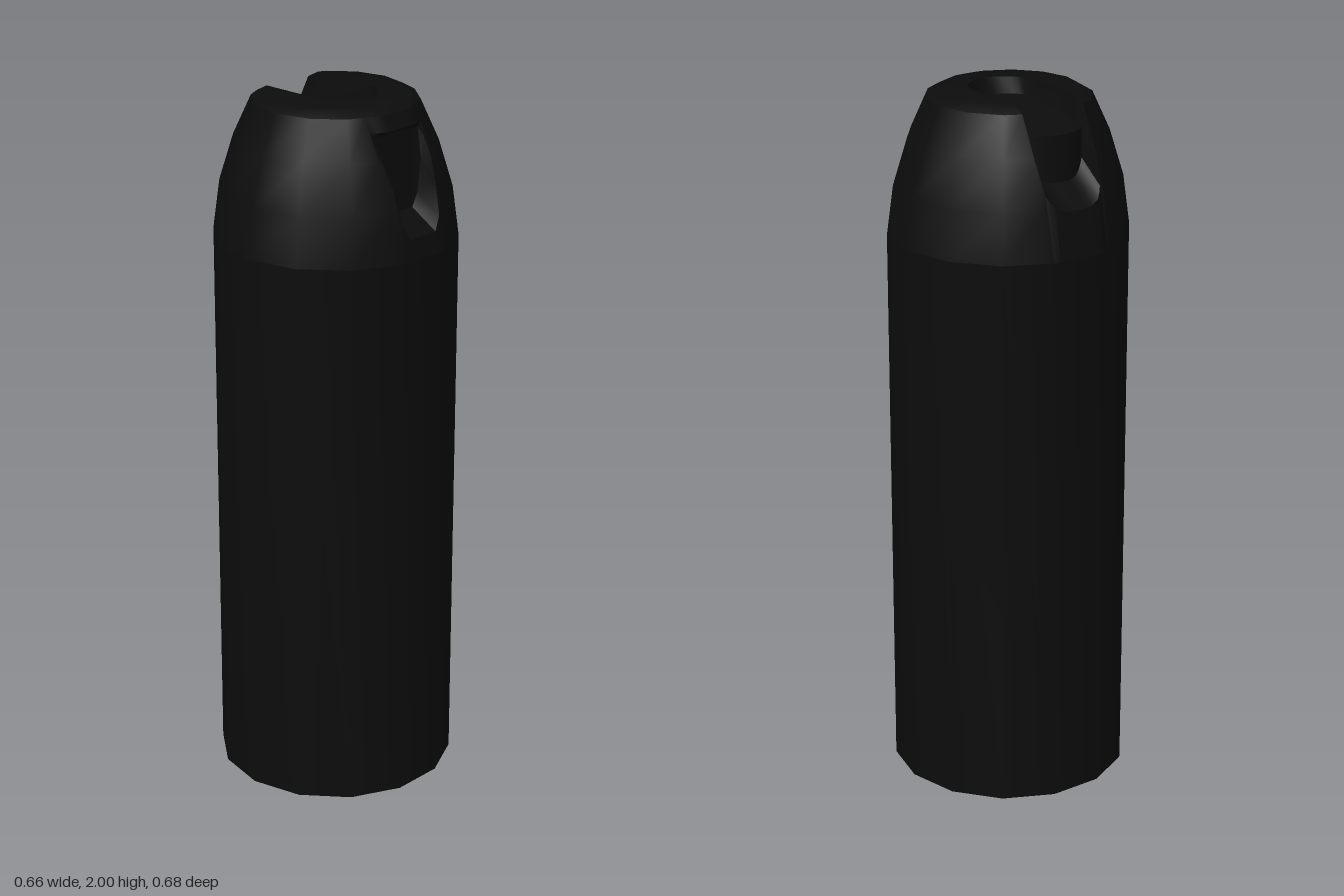
import * as THREE from 'three';
import { mergeGeometries, toCreasedNormals } from 'three/addons/utils/BufferGeometryUtils.js';

const R = 0.339, SIDES = 14, BAND = 0.1;
const LEVELS = [[1.6, R], [1.74, 0.32], [1.87, 0.28], [1.98, 0.23], [2, 0.195]];
const STEP = (Math.PI * 2) / SIDES;

// Shoulder radius at height y
function radius(y) {
  for (let i = 1; i < LEVELS.length; i++) {
    const [y0, r0] = LEVELS[i - 1], [y1, r1] = LEVELS[i];
    if (y <= y1) return r0 + ((r1 - r0) * (y - y0)) / (y1 - y0);
  }
  return LEVELS[LEVELS.length - 1][1];
}

// Half width in x of the 14-sided section at height y and depth z (near the side facets)
function halfWidth(y, z) {
  const r = radius(y), a = Math.abs(z);
  const x0 = r * Math.sin(3 * STEP), z0 = r * Math.cos(3 * STEP);
  const x1 = r * Math.sin(2 * STEP), z1 = r * Math.cos(2 * STEP);
  return a <= z0 ? x0 : x0 + ((x1 - x0) * (a - z0)) / (z1 - z0);
}

// Surface through a grid of points
function gridSurface(rows) {
  const pos = rows.flat(2), index = [], n = rows[0].length;
  for (let i = 0; i < rows.length - 1; i++) {
    for (let j = 0; j < n - 1; j++) {
      const a = i * n + j, c = a + n;
      index.push(a, c, a + 1, a + 1, c, c + 1);
    }
  }
  const g = new THREE.BufferGeometry();
  g.setAttribute('position', new THREE.Float32BufferAttribute(pos, 3));
  g.setIndex(index);
  return g;
}

// Rounded shoulder and flat top beside the middle band
function shoulderSide() {
  const rows = LEVELS.map(([y, r]) => {
    const w = halfWidth(y, BAND), row = [[w, y, BAND]];
    for (let k = 2; k >= -2; k--) row.push([r * Math.sin(k * STEP), y, r * Math.cos(k * STEP)]);
    row.push([-w, y, BAND]);
    return row;
  });
  rows.push(rows[rows.length - 1].map(([x, y]) => [x, y, BAND]));
  return gridSurface(rows);
}

// Uncut cross-section of the middle band
function plainSection(z) {
  const at = (s, y) => [s * halfWidth(y, z), y, z];
  return [
    ...[1.6, 1.74, 1.87, 1.98, 2].map((y) => at(-1, y)),
    [0, 2, z], [0.02, 2, z],
    ...[2, 1.98, 1.94, 1.91, 1.89, 1.88, 1.87, 1.74, 1.66, 1.6].map((y) => at(1, y)),
  ];
}

// Cross-section with the finger slot (-x) and the nozzle recess (+x)
function carvedSection(z) {
  const at = (s, y) => [s * halfWidth(y, z), y, z];
  const u = Math.abs(z) / BAND;
  const slotLip = 1.73 + 0.07 * u ** 4;
  const tip = -0.245 + 0.045 * u * u;
  const slotEnd = 0.02 + BAND * Math.sqrt(1 - u * u);
  const lip = 1.66 + (Math.max(0, Math.abs(z) - 0.065) / 0.035) * 0.27;
  return [
    at(-1, 1.6), at(-1, slotLip),
    [tip, slotLip + 0.06, z], [tip, 1.92, z], [-0.17, 1.935, z],
    [slotEnd - 0.015, 1.955, z], [slotEnd, 2, z],
    at(1, 2), at(1, 1.98), at(1, 1.94),
    [0.225, 1.925, z], [0.238, Math.min(lip + 0.05, 1.91), z],
    at(1, lip), at(1, Math.min(lip, 1.87)), at(1, Math.min(lip, 1.74)), at(1, 1.66), at(1, 1.6),
  ];
}

export function createModel() {
  const group = new THREE.Group();
  const material = new THREE.MeshStandardMaterial({ color: 0x0c0c0c, side: THREE.DoubleSide });
  const add = (name, geometry) => {
    const mesh = new THREE.Mesh(toCreasedNormals(geometry, 0.55), material);
    mesh.name = name;
    group.add(mesh);
  };

  // Straight can body with a flat base
  const profile = [[0, 0], [R, 0], [R, 1.6]].map(([x, y]) => new THREE.Vector2(x, y));
  add('body', new THREE.LatheGeometry(profile, SIDES));

  // Shoulder cap: two mirrored sides and the carved band between them
  const depths = [-0.09, -0.082, -0.07, -0.05, -0.025, 0, 0.025, 0.05, 0.07, 0.082, 0.09];
  const band = gridSurface([plainSection(-BAND), ...depths.map(carvedSection), plainSection(BAND)]);
  const front = shoulderSide();
  const back = front.clone().rotateY(Math.PI);
  add('shoulderCap', mergeGeometries([front, back, band]));

  return group;
}
